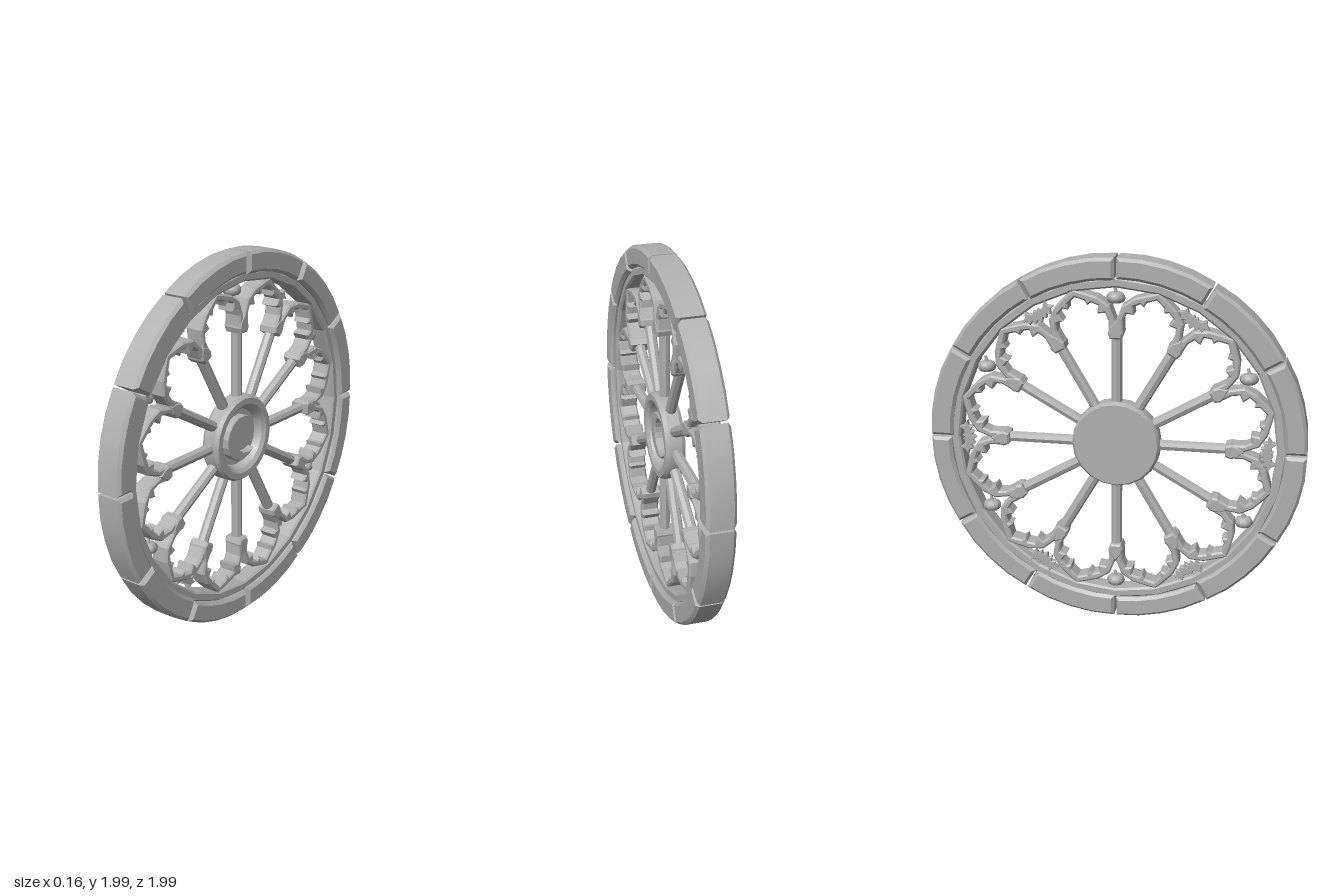
import * as THREE from 'three';
import { toCreasedNormals, mergeVertices } from 'three/addons/utils/BufferGeometryUtils.js';

const stone = new THREE.MeshStandardMaterial({ color: 0xb0b0b0 });
stone.name = 'grey stone';

const TAU = Math.PI * 2;
const polar = (r, a) => new THREE.Vector2(r * Math.sin(a), r * Math.cos(a));
const shapeOf = (pts) => new THREE.Shape(pts.map((p) => (p.isVector2 ? p : new THREE.Vector2(p[0], p[1]))));

// Bevelled plate between two depths; the outline stays at its drawn size
function plate(shape, z0, z1, bevel) {
  const g = new THREE.ExtrudeGeometry(shape, {
    depth: z1 - z0 - 2 * bevel, bevelEnabled: bevel > 0, bevelThickness: bevel,
    bevelSize: bevel, bevelOffset: -bevel, bevelSegments: 1, curveSegments: 8,
  });
  g.translate(0, 0, z0 + bevel);
  return g;
}

function add(parent, name, geometry) {
  const m = new THREE.Mesh(geometry, stone);
  m.name = name;
  parent.add(m);
  return m;
}

// Group turned clockwise from the top of the wheel
function spokeFrame(parent, name, angle) {
  const g = new THREE.Group();
  g.name = name;
  g.rotation.z = -angle;
  parent.add(g);
  return g;
}

function ringStone(i) {
  const half = TAU / 24 - 0.006, pts = [];
  const wear = 0.006 * Math.sin(i * 2.4);
  for (let k = 0; k <= 4; k++) pts.push(polar(1 - (k === 0 || k === 4 ? 0.003 : 0), -half + (half * k) / 2));
  for (let k = 4; k >= 0; k--) pts.push(polar(0.883 + wear, -half + (half * k) / 2));
  return toCreasedNormals(plate(shapeOf(pts), -0.07, 0.08, 0.016), 0.5);
}

// Pointed arch with one cusp on each side
function petalGeometry() {
  const outer = [[0.157, 0.59], [0.172, 0.645], [0.163, 0.731], [0.112, 0.789], [0.05, 0.825]];
  const inner = [[0.122, 0.60], [0.138, 0.66], [0.131, 0.70], [0.092, 0.705], [0.107, 0.745], [0.075, 0.768], [0.052, 0.758], [0.045, 0.785]];
  const mirror = (a) => a.map(([x, y]) => [-x, y]);
  const pts = [...outer, [0, 0.852], ...mirror(outer).reverse(), ...mirror(inner), [0, 0.812], ...inner.slice().reverse()];
  return plate(shapeOf(pts), -0.05, 0.05, 0.009);
}

// Ribbed squashed globe
function gourdGeometry() {
  let g = new THREE.SphereGeometry(0.045, 20, 8);
  g.deleteAttribute('uv');
  g.deleteAttribute('normal');
  g = mergeVertices(g);
  const p = g.attributes.position;
  for (let i = 0; i < p.count; i++) {
    const x = p.getX(i), y = p.getY(i), z = p.getZ(i);
    const k = 1 + 0.1 * Math.cos(Math.atan2(z, x) * 10);
    const dip = 1 - 0.3 * Math.exp(-(x * x + z * z) / 0.0003);
    p.setXYZ(i, x * k, y * 0.78 * dip, z * k);
  }
  g.computeVertexNormals();
  return g;
}

// Spread-winged silhouette with scalloped lower edge
function wingedGeometry() {
  const side = [[0.012, 0.03], [0.018, 0.018], [0.04, 0.022], [0.058, 0.045], [0.068, 0.02], [0.095, 0.002],
    [0.068, -0.004], [0.064, -0.028], [0.043, -0.014], [0.032, -0.036], [0.016, -0.022]];
  const pts = [[0, 0.02], ...side, [0, -0.045], ...side.map(([x, y]) => [-x, y]).reverse()];
  return plate(shapeOf(pts), -0.016, 0.016, 0.003);
}

function crescentGeometry() {
  const s = new THREE.Shape();
  const R = 0.125, r = 0.1, d = 0.05;
  const x = (R * R - r * r + d * d) / (2 * d), y = Math.sqrt(R * R - x * x);
  const a = Math.atan2(y, x), b = Math.atan2(y, x - d), n = 12;
  const pts = [];
  for (let k = 0; k <= n; k++) {
    const t = a + ((TAU - 2 * a) * k) / n;
    pts.push([R * Math.cos(t), R * Math.sin(t)]);
  }
  for (let k = 1; k < n; k++) {
    const t = TAU - b - ((TAU - 2 * b) * k) / n;
    pts.push([d + r * Math.cos(t), r * Math.sin(t)]);
  }
  return plate(shapeOf(pts), -0.01, 0.04, 0.004);
}

export function createModel() {
  const model = new THREE.Group();
  model.name = 'roseWindow';
  const wheel = new THREE.Group();
  wheel.name = 'wheel';
  wheel.position.y = 1;
  wheel.rotation.y = Math.PI / 2; // wheel face looks along +x
  model.add(wheel);

  // Thin moulding inside the ring of stones
  const rim = shapeOf(Array.from({ length: 24 }, (_, k) => polar(0.895, (k * TAU) / 24)));
  rim.holes.push(new THREE.Path(Array.from({ length: 24 }, (_, k) => polar(0.843, (-k * TAU) / 24))));
  add(wheel, 'innerMoulding', plate(rim, -0.05, 0.055, 0.01));

  const petal = petalGeometry(), gourd = gourdGeometry(), winged = wingedGeometry();
  const spoke = new THREE.CylinderGeometry(0.029, 0.029, 0.42, 8).toNonIndexed();
  spoke.computeVertexNormals();
  const capital = plate(shapeOf([[-0.029, 0.575], [0.029, 0.575], [0.04, 0.605], [0.03, 0.64], [0, 0.675], [-0.03, 0.64], [-0.04, 0.605]]), -0.054, 0.054, 0.009);

  for (let i = 0; i < 12; i++) {
    const a = (i * TAU) / 12;
    const between = spokeFrame(wheel, 'bay', a + TAU / 24);
    add(between, 'ringStone', ringStone(i));
    add(between, 'petalArch', petal);

    const line = spokeFrame(wheel, 'spokeLine', a);
    add(line, 'spoke', spoke).position.y = 0.405;
    add(line, 'capital', capital);

    // Ornaments alternate in the spandrels
    if (i % 2) {
      add(line, 'wingedOrnament', winged).position.set(0, 0.795, -0.045);
    } else {
      const o = new THREE.Group();
      o.name = 'gourdOrnament';
      o.position.set(0, 0.79, -0.03);
      o.rotation.z = a; // all stand upright
      line.add(o);
      add(o, 'gourd', gourd);
      const stem = add(o, 'stem', new THREE.CylinderGeometry(0.007, 0.011, 0.03, 6));
      stem.position.set(0.003, 0.04, 0);
      stem.rotation.z = -0.25;
    }
  }

  // Hub: dished disc with a raised rim
  const profile = [[0, -0.05], [0.222, -0.05], [0.235, -0.03], [0.235, 0.035], [0.222, 0.055], [0.19, 0.055], [0.17, 0.04], [0.155, 0], [0, 0]];
  const hub = new THREE.LatheGeometry(profile.map(([x, y]) => new THREE.Vector2(x, y)), 20);
  hub.rotateX(Math.PI / 2);
  add(wheel, 'hub', toCreasedNormals(hub, 0.5));
  add(wheel, 'crescent', crescentGeometry()).rotation.z = 0.2;

  return model;
}
